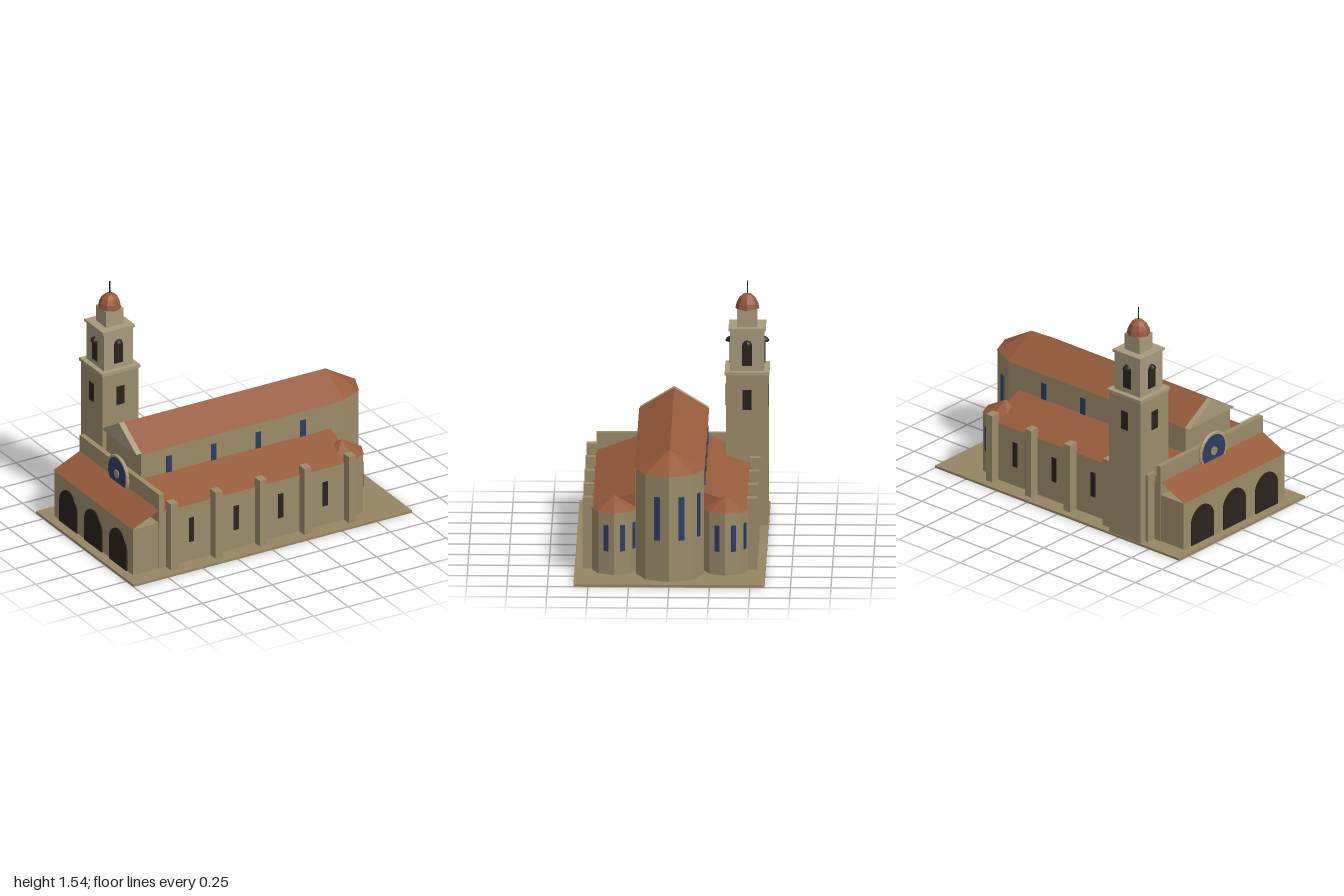
import * as THREE from 'three';

const mat = (color, side = THREE.FrontSide) =>
  new THREE.MeshStandardMaterial({ color, flatShading: true, side });
const stone = mat(0x9c8b69), trim = mat(0xa89a7b), ground = mat(0x968662);
const tile = mat(0x965a3b, THREE.DoubleSide), dark = mat(0x2a221c), glass = mat(0x2d3c64);

export function createModel() {
  const root = new THREE.Group();
  root.name = 'church';

  const add = (name, geometry, material, parent = root) => {
    const mesh = new THREE.Mesh(geometry, material);
    mesh.name = name;
    parent.add(mesh);
    return mesh;
  };
  // Box given by its limits on each axis
  const box = (name, [x0, x1], [y0, y1], [z0, z1], material, parent) => {
    const g = new THREE.BoxGeometry(x1 - x0, y1 - y0, z1 - z0);
    g.translate((x0 + x1) / 2, (y0 + y1) / 2, (z0 + z1) / 2);
    return add(name, g, material, parent);
  };
  // Shape drawn in (z, y), extruded along x from x0 to x1
  const alongX = (name, shape, x0, x1, material) => {
    const g = new THREE.ExtrudeGeometry(shape, { depth: x1 - x0, bevelEnabled: false, curveSegments: 8 });
    g.rotateY(-Math.PI / 2).translate(x1, 0, 0);
    return add(name, g, material);
  };
  const polygon = (points) => new THREE.Shape(points.map(([z, y]) => new THREE.Vector2(z, y)));

  box('basePlinth', [-1, 1], [0, 0.015], [-0.59, 0.59], ground);

  // Nave
  box('naveWalls', [-0.72, 0.73], [0.015, 0.685], [-0.21, 0.21], stone);
  alongX('naveRoof', polygon([[-0.216, 0.682], [0.216, 0.682], [0, 0.812]]), -0.72, 0.73, tile);
  alongX('gableParapet', polygon([[-0.212, 0.685], [0.212, 0.685], [0, 0.815]]), -0.755, -0.718, trim);

  // Aisles with their windows and buttresses, mirrored in z
  for (const s of [-1, 1]) {
    const span = (a, b) => (s > 0 ? [a, b] : [-b, -a]);
    box('aisleWalls', [-0.72, 0.64], [0.015, 0.41], span(0.2, 0.48), stone);
    alongX('aisleRoof', polygon([[s * 0.205, 0.407], [s * 0.49, 0.407], [s * 0.205, 0.512]]), -0.72, 0.64, tile);
    for (let i = 0; i < 4; i++) {
      const x = -0.52 + i * 0.32;
      box('aisleWindow', [x - 0.018, x + 0.018], [0.145, 0.31], span(0.47, 0.484), dark);
      box('clerestoryWindow', [x - 0.02, x + 0.02], [0.5, 0.62], span(0.2, 0.214), glass);
    }
    for (let i = 0; i < 5; i++) {
      const x = -0.675 + i * 0.319;
      box('buttress', [x - 0.026, x + 0.026], [0.015, 0.47], span(0.475, 0.54), stone);
    }
  }

  // Eight-sided apses with slit windows on three facets
  const apse = (name, x, z, radius, wallTop, peak, sill, head, slit) => {
    const group = new THREE.Group();
    group.name = name;
    group.position.set(x, 0, z);
    root.add(group);
    add('apseWalls', new THREE.CylinderGeometry(radius, radius, wallTop - 0.015, 8), stone, group)
      .position.y = (wallTop + 0.015) / 2;
    add('apseRoof', new THREE.ConeGeometry(radius + 0.004, peak - wallTop, 8), tile, group)
      .position.y = (wallTop + peak) / 2;
    const apothem = radius * Math.cos(Math.PI / 8);
    for (const facet of [-0.5, 0.5, 1.5]) {
      const a = facet * Math.PI / 4;
      const w = add('apseWindow', new THREE.BoxGeometry(0.016, head - sill, slit), glass, group);
      w.position.set(apothem * Math.cos(a), (sill + head) / 2, -apothem * Math.sin(a));
      w.rotation.y = a;
    }
  };
  apse('mainApse', 0.73, 0, 0.208, 0.685, 0.81, 0.275, 0.55, 0.035);
  for (const s of [-1, 1]) apse('sideApse', 0.64, s * 0.343, 0.138, 0.41, 0.492, 0.165, 0.33, 0.03);

  // Entrance front
  box('facadeWall', [-0.752, -0.718], [0.015, 0.525], [-0.48, 0.48], stone);
  box('porchWalls', [-0.935, -0.75], [0.015, 0.33], [-0.475, 0.475], stone);
  const porchRoof = add('porchRoof', new THREE.PlaneGeometry(Math.hypot(0.19, 0.085), 0.955), tile);
  porchRoof.geometry.rotateX(-Math.PI / 2).rotateZ(Math.atan2(0.085, 0.19));
  porchRoof.position.set(-0.846, 0.374, 0);
  for (const z of [-0.3, 0, 0.3]) {
    const arch = new THREE.Shape();
    arch.moveTo(z - 0.105, 0.015);
    arch.lineTo(z + 0.105, 0.015);
    arch.lineTo(z + 0.105, 0.155);
    arch.absarc(z, 0.155, 0.105, 0, Math.PI, false);
    alongX('porchArch', arch, -0.943, -0.93, dark);
  }

  // Rose window
  const rose = new THREE.Group();
  rose.name = 'roseWindow';
  rose.position.set(-0.76, 0.467, 0);
  rose.rotation.y = -Math.PI / 2;
  root.add(rose);
  const disc = (name, r, depth, material) =>
    add(name, new THREE.CylinderGeometry(r, r, depth, 24).rotateX(Math.PI / 2), material, rose);
  disc('roseGlass', 0.115, 0.018, glass);
  disc('roseHub', 0.028, 0.03, stone);
  add('roseFrame', new THREE.TorusGeometry(0.115, 0.012, 6, 24), trim, rose);

  // Bell tower
  const tower = new THREE.Group();
  tower.name = 'bellTower';
  tower.position.set(-0.55, 0, -0.455);
  root.add(tower);
  const stage = (name, half, y0, y1, material) =>
    box(name, [-half, half], [y0, y1], [-half, half], material, tower);
  stage('towerShaft', 0.13, 0.015, 0.975, stone);
  stage('lowerCornice', 0.138, 0.975, 0.995, trim);
  stage('belfry', 0.105, 0.995, 1.25, trim);
  stage('upperCornice', 0.115, 1.25, 1.265, trim);
  stage('lantern', 0.062, 1.265, 1.372, trim);
  for (let i = 0; i < 4; i++) {
    const side = new THREE.Group();
    side.name = 'towerOpenings';
    side.rotation.y = i * Math.PI / 2;
    tower.add(side);
    box('shaftWindow', [-0.027, 0.027], [0.755, 0.88], [0.12, 0.134], dark, side);
    box('belfryOpening', [-0.03, 0.03], [1.03, 1.16], [0.095, 0.111], dark, side);
    const hood = new THREE.SphereGeometry(0.03, 8, 4, 0, Math.PI * 2, 0, Math.PI / 2);
    add('belfryArchHead', hood, dark, side).position.set(0, 1.16, 0.105);
  }
  const dome = [[0, 1.37], [0.074, 1.37], [0.067, 1.405], [0.052, 1.437], [0.028, 1.459], [0, 1.467]];
  add('dome', new THREE.LatheGeometry(dome.map(([r, y]) => new THREE.Vector2(r, y)), 8), tile, tower);
  add('spire', new THREE.CylinderGeometry(0.004, 0.004, 0.09, 6), dark, tower).position.y = 1.5;

  return root;
}
